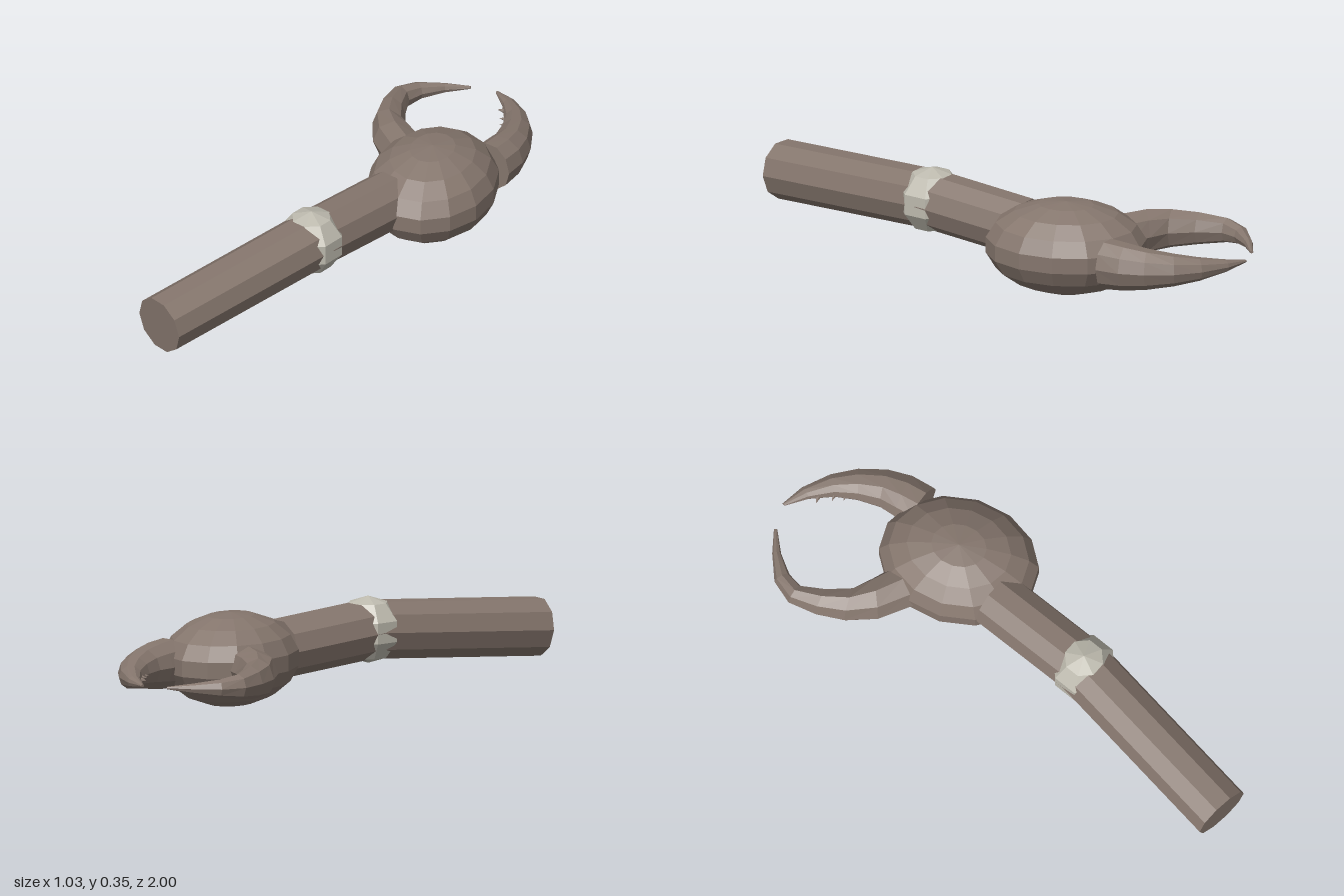
import * as THREE from 'three';

const V = (x, y, z) => new THREE.Vector3(x, y, z);

// Tapered pincer lofted through rings: [outerX, outerZ, innerX, innerZ, halfHeight]
function pincerGeometry(rows, sides, flip) {
  const pos = [], idx = [], midY = 0.18;
  const tri = (a, b, c) => (flip ? idx.push(a, c, b) : idx.push(a, b, c));
  for (const [ox, oz, ix, iz, h] of rows) {
    for (let j = 0; j < sides; j++) {
      const a = (j / sides) * Math.PI * 2, k = Math.cos(a) / 2;
      pos.push((ox + ix) / 2 + (ox - ix) * k, midY + Math.sin(a) * h, (oz + iz) / 2 + (oz - iz) * k);
    }
  }
  const last = (rows.length - 1) * sides;
  for (let i = 0; i < rows.length - 1; i++) {
    for (let j = 0; j < sides; j++) {
      const a = i * sides + j, b = i * sides + ((j + 1) % sides);
      tri(a, b, a + sides);
      tri(b, b + sides, a + sides);
    }
  }
  // end caps
  for (let j = 1; j < sides - 1; j++) {
    tri(0, j + 1, j);
    tri(last, last + j, last + j + 1);
  }
  const g = new THREE.BufferGeometry();
  g.setAttribute('position', new THREE.Float32BufferAttribute(pos, 3));
  g.setIndex(idx);
  const flat = g.toNonIndexed();
  flat.computeVertexNormals();
  return flat;
}

export function createModel() {
  const model = new THREE.Group();
  model.name = 'pincerArm';
  const shell = new THREE.MeshStandardMaterial({ name: 'brown shell', color: 0x85766d, flatShading: true });
  const bone = new THREE.MeshStandardMaterial({ name: 'pale joint', color: 0xbdbaae, flatShading: true });

  const add = (name, geometry, material) => {
    const mesh = new THREE.Mesh(geometry, material);
    mesh.name = name;
    model.add(mesh);
    return mesh;
  };

  // Ten-sided limb between two points, flat side up
  const limb = (name, from, to, r) => {
    const g = new THREE.CylinderGeometry(r, r, from.distanceTo(to), 10);
    g.rotateY(Math.PI / 2).rotateX(Math.PI / 2);
    const mesh = add(name, g, shell);
    mesh.position.copy(from).lerp(to, 0.5);
    mesh.lookAt(to);
  };
  const elbow = V(-0.04, 0.226, 0.28);
  limb('forearm', V(-0.417, 0.167, 0.94), elbow, 0.113);
  limb('wrist', elbow, V(0.13, 0.2, -0.12), 0.113);

  // Joint ball showing between the limbs
  add('elbowJoint', new THREE.SphereGeometry(0.128, 8, 5), bone).position.copy(elbow);

  // Palm
  const palm = add('palm', new THREE.SphereGeometry(1, 14, 9), shell);
  palm.scale.set(0.246, 0.177, 0.31);
  palm.position.set(0.242, 0.181, -0.3);

  // Hooked pincer on the right
  add('rightPincer', pincerGeometry([
    [0.02, -0.41, 0.14, -0.53, 0.085],
    [-0.07, -0.52, 0.08, -0.585, 0.085],
    [-0.113, -0.64, 0.02, -0.64, 0.075],
    [-0.122, -0.75, -0.015, -0.735, 0.063],
    [-0.108, -0.86, -0.033, -0.835, 0.048],
    [-0.045, -0.935, 0.0, -0.89, 0.034],
    [0.06, -0.977, 0.07, -0.945, 0.019],
    [0.155, -1.0, 0.157, -0.987, 0.005],
  ], 8, false), shell);

  // Broad curved pincer on the left
  add('leftPincer', pincerGeometry([
    [0.488, -0.468, 0.325, -0.525, 0.097],
    [0.511, -0.56, 0.34, -0.585, 0.09],
    [0.508, -0.66, 0.36, -0.65, 0.078],
    [0.478, -0.77, 0.361, -0.735, 0.062],
    [0.425, -0.865, 0.348, -0.82, 0.045],
    [0.345, -0.95, 0.31, -0.91, 0.024],
    [0.262, -1.0, 0.257, -0.988, 0.005],
  ], 10, true), shell);

  // Small teeth along the inner edge of the left pincer
  [[0.358, -0.785], [0.345, -0.825], [0.318, -0.88]].forEach(([x, z], i) => {
    const g = new THREE.ConeGeometry(0.013, 0.035, 5);
    g.rotateZ(Math.PI / 2);
    add('tooth' + (i + 1), g, shell).position.set(x, 0.18, z);
  });

  return model;
}
